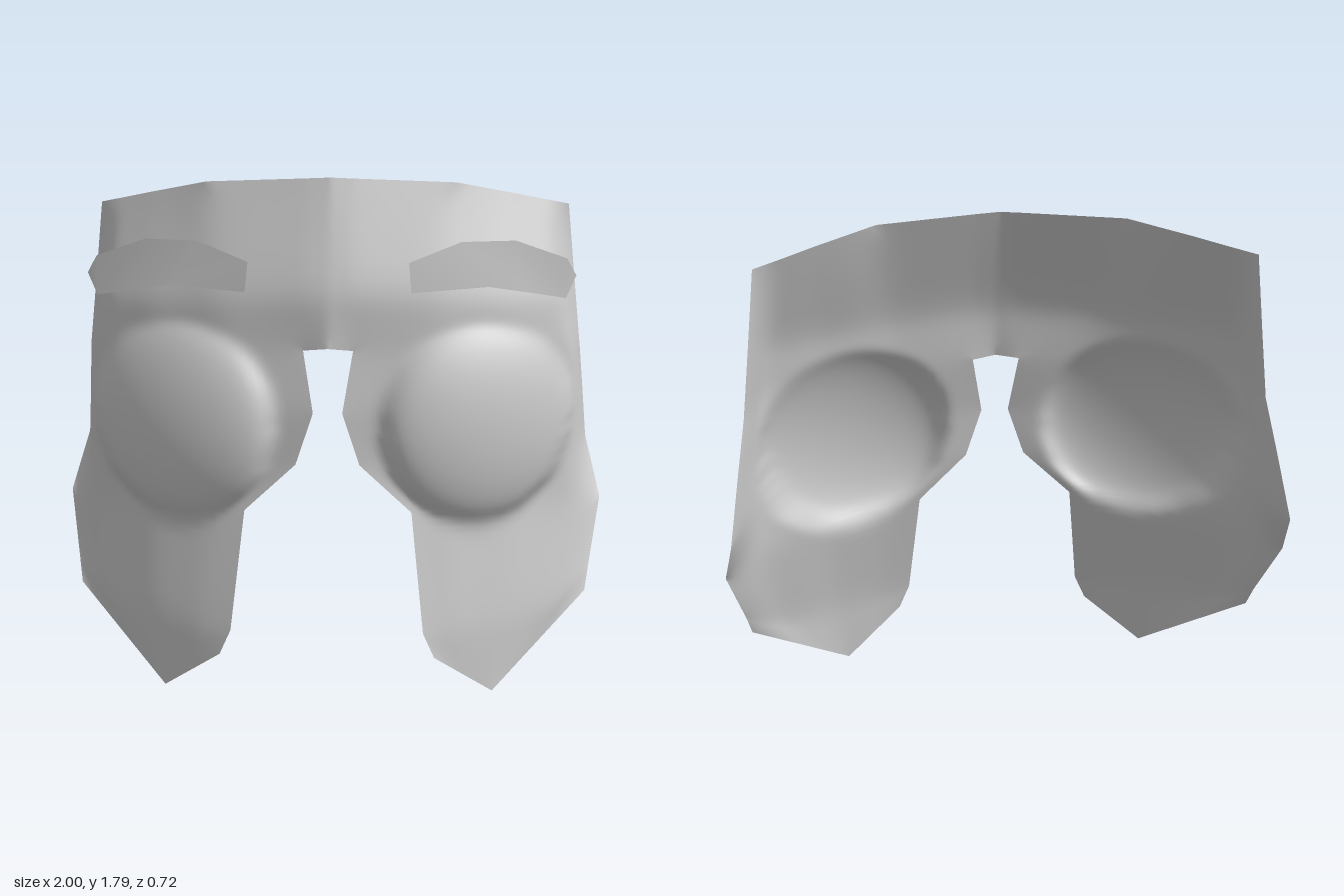
import * as THREE from 'three';

const grey = () => new THREE.MeshStandardMaterial({ color: 0xcccccc, side: THREE.DoubleSide });
const N = 12; // subdivisions between neighbouring control points

// Cross-sections of the left half, top to bottom, each from the middle to the outer edge
const sections = [
  [[0, 1.79, .1], [.085, 1.786, .09], [.43, 1.77, .03], [.64, 1.725, -.075], [.75, 1.7, -.135], [.84, 1.68, -.18]],
  [[0, 1.42, .235], [.085, 1.42, .23], [.38, 1.4, .185], [.62, 1.38, .095], [.81, 1.38, -.015], [.87, 1.42, -.18]],
  [[0, 1.23, .255], [.085, 1.22, .235], [.36, 1.2, .205], [.62, 1.2, .115], [.84, 1.2, 0], [.9, 1.17, -.18]],
  [[0, 1.01, .275], [.05, 1.01, .275], [.3, 1, .24], [.6, 1, .11], [.87, 1, -.03], [.93, .98, -.27]],
  [[0, .83, .28], [.11, .83, .28], [.35, .82, .23], [.6, .82, .11], [.88, .82, -.04], [.96, .78, -.36]],
  [[0, .66, .27], [.29, .66, .27], [.42, .64, .23], [.64, .62, .13], [.88, .6, -.04], [1, .59, -.19]],
  [[0, .25, .36], [.335, .25, .36], [.46, .25, .31], [.63, .26, .22], [.82, .27, .09], [.95, .36, -.05]],
  [[0, .16, .36], [.375, .16, .36], [.48, .08, .315], [.585, 0, .27], [.76, .14, .13], [.935, .28, -.01]],
];
const NOSE_ROW = 2 * N;                 // below this row the middle is open
const HALF = 5 * N, COLS = 2 * HALF + 1, ROWS = 7 * N + 1;

// Point of the sheet at a grid position, blended from the cross-sections
function sheetPoint(row, col) {
  const u = Math.abs(col - HALF) / N, v = row / N;
  const i = Math.min(Math.floor(u), 4), j = Math.min(Math.floor(v), 6);
  const along = s => new THREE.Vector3(...s[i]).lerp(new THREE.Vector3(...s[i + 1]), u - i);
  const p = along(sections[j]).lerp(along(sections[j + 1]), v - j);
  if (col < HALF) p.x = -p.x;
  return p;
}

// Edge points hold the outline and are not smoothed
function isEdge(row, col) {
  const c = Math.abs(col - HALF);
  return row === 0 || row === ROWS - 1 || c === HALF || (row >= NOSE_ROW && c <= N);
}

// Pull inner points toward the mean of their neighbours
function smooth(pts, passes) {
  for (let pass = 0; pass < passes; pass++) {
    pts = pts.map((p, k) => {
      if (isEdge(Math.floor(k / COLS), k % COLS)) return p;
      const mean = new THREE.Vector3();
      for (const n of [k - 1, k + 1, k - COLS, k + COLS]) mean.addScaledVector(pts[n], .25);
      return p.clone().lerp(mean, .6);
    });
  }
  return pts;
}

function maskGeometry() {
  let pts = [];
  for (let r = 0; r < ROWS; r++) for (let c = 0; c < COLS; c++) pts.push(sheetPoint(r, c));
  pts = smooth(pts, 14);

  // Eye domes: tilted caps that emerge from the sheet, most at the lower and outer rim
  for (const p of pts) {
    const dx = Math.abs(p.x) - .525, dy = p.y - .97;
    const r2 = (dx / .335) ** 2 + (dy / .365) ** 2;
    if (r2 < 1) p.z = Math.max(p.z, .128 - .38 * dx - .13 * dy + .128 * (1 - r2) ** .55);
  }
  pts = smooth(pts, 3);

  const index = [];
  for (let r = 0; r < ROWS - 1; r++) {
    for (let c = 0; c < COLS - 1; c++) {
      if (r >= NOSE_ROW && Math.abs(c + .5 - HALF) < N) continue; // nose opening
      const a = r * COLS + c, b = a + 1, d = a + COLS, e = d + 1;
      if (c < HALF) index.push(a, d, e, a, e, b);
      else index.push(a, d, b, b, d, e);
    }
  }
  const g = new THREE.BufferGeometry().setFromPoints(pts);
  g.setIndex(index);
  g.computeVertexNormals();
  return g;
}

// Thin eyebrow plate: lower edge and upper edge joined by a strip
function eyebrowGeometry(side) {
  const lower = [[.28, 1.42, .245], [.54, 1.435, .19], [.68, 1.41, .145], [.81, 1.385, .1], [.845, 1.46, .08]];
  const upper = [[.27, 1.52, .235], [.445, 1.585, .185], [.63, 1.585, .135], [.81, 1.52, .09], [.845, 1.46, .08]];
  const pts = [], index = [];
  lower.forEach((p, i) => {
    for (const [x, y, z] of [p, upper[i]]) pts.push(new THREE.Vector3(side * x, y, z));
    if (i === 0) return;
    const a = 2 * i - 2;
    const tris = i < 4 ? [[a, a + 2, a + 1], [a + 1, a + 2, a + 3]] : [[a, a + 2, a + 1]];
    for (const t of tris) index.push(...(side > 0 ? t : t.reverse()));
  });
  const g = new THREE.BufferGeometry().setFromPoints(pts);
  g.setIndex(index);
  g.computeVertexNormals();
  return g;
}

export function createModel() {
  const model = new THREE.Group();
  model.name = 'mask';
  const add = (name, geometry) => {
    const mesh = new THREE.Mesh(geometry, grey());
    mesh.name = name;
    model.add(mesh);
  };
  add('faceSheet', maskGeometry());
  add('leftEyebrow', eyebrowGeometry(1));
  add('rightEyebrow', eyebrowGeometry(-1));
  return model;
}
